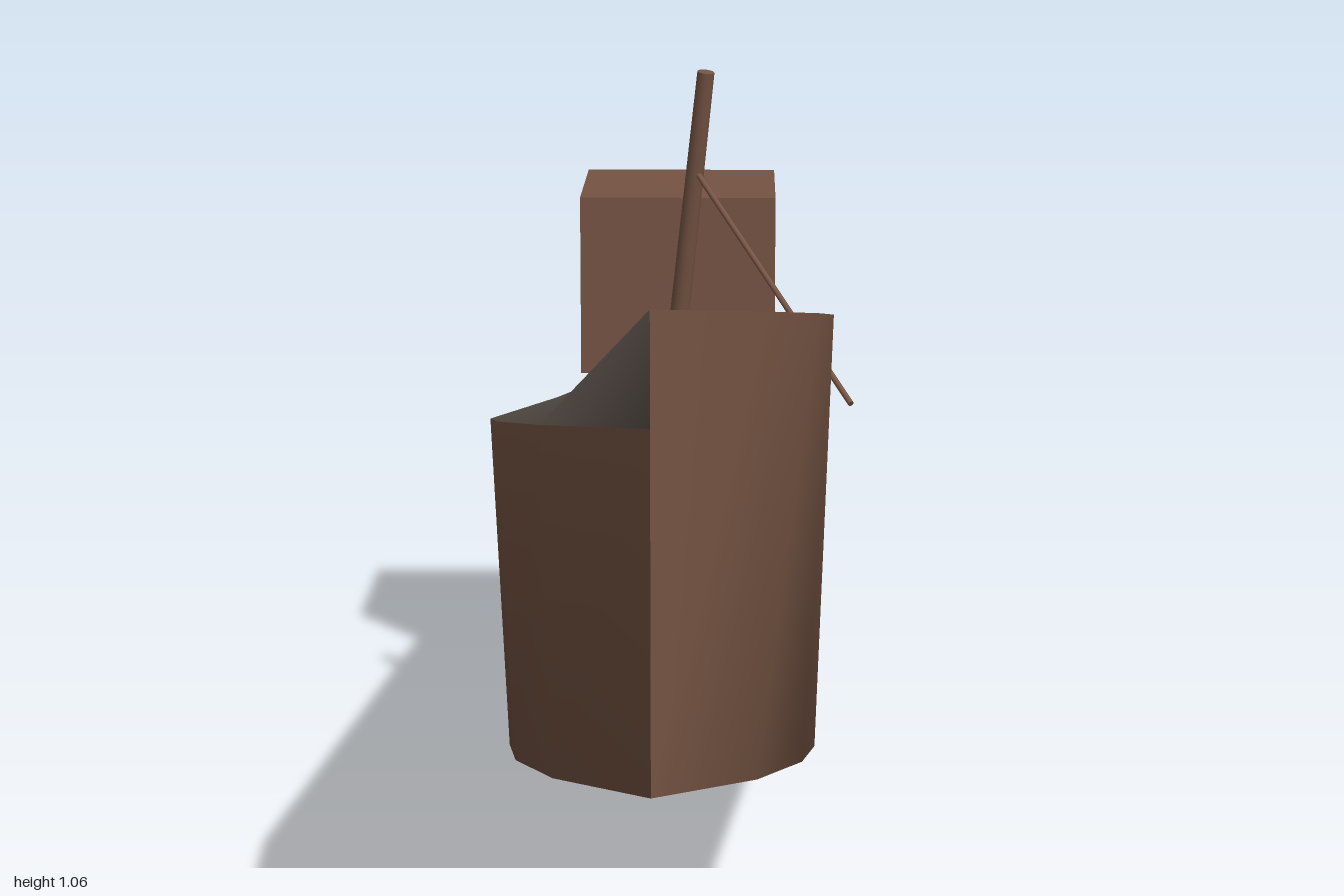
import * as THREE from 'three';

const brown = new THREE.MeshStandardMaterial({ name: 'hullBrown', color: 0x755443, side: THREE.DoubleSide });
const grey = new THREE.MeshStandardMaterial({ name: 'deckGrey', color: 0x574d47, side: THREE.DoubleSide });

const MID = -0.018; // x of the keel line
// hull stations from stern to bow: [z, half width at the rail]
const STATIONS = [[-1, 0.21], [0.5, 0.21], [0.66, 0.19], [0.83, 0.13], [1, 0]];
const rise = (z) => 0.1975 * z; // whole ship pitches up to the bow

// Lofts open cross-sections (arrays of [x, y, z]) into a smooth skin
function loft(sections) {
  const n = sections[0].length;
  const index = [];
  for (let i = 0; i < sections.length - 1; i++) {
    for (let j = 0; j < n - 1; j++) {
      const a = i * n + j, b = a + 1, d = a + n, c = d + 1;
      index.push(a, b, d, b, c, d);
    }
  }
  const geo = new THREE.BufferGeometry();
  geo.setAttribute('position', new THREE.Float32BufferAttribute(sections.flat(2), 3));
  geo.setIndex(index);
  geo.computeVertexNormals();
  return geo;
}

function addMesh(group, name, geometry, material) {
  const mesh = new THREE.Mesh(geometry, material);
  mesh.name = name;
  group.add(mesh);
  return mesh;
}

// Thin round spar between two points
function addSpar(group, name, from, to, rBottom, rTop) {
  const a = new THREE.Vector3(...from), b = new THREE.Vector3(...to);
  const dir = b.clone().sub(a);
  const spar = addMesh(group, name, new THREE.CylinderGeometry(rTop, rBottom, dir.length(), 12), brown);
  spar.position.copy(a).add(b).multiplyScalar(0.5);
  spar.quaternion.setFromUnitVectors(new THREE.Vector3(0, 1, 0), dir.normalize());
}

export function createModel() {
  const ship = new THREE.Group();
  ship.name = 'ship';

  // the rail is lower on the -x side; the floor is level across
  const railRight = ([z, w]) => [MID - w, 0.617 + rise(z), z];
  const railLeft = ([z, w]) => [MID + w, 0.748 + rise(z), z];
  const floor = ([z, w], side) => [MID + side * w * 0.91, 0.1985 + rise(z), z];

  // side walls and floor, open at the stern
  addMesh(ship, 'hull', loft(STATIONS.map((s) => [railRight(s), floor(s, -1), floor(s, 1), railLeft(s)])), brown);

  // sloping deck
  addMesh(ship, 'deck', loft(STATIONS.map((s) => [railLeft(s), railRight(s)])), grey);

  // deckhouse
  const house = addMesh(ship, 'deckhouse', new THREE.BoxGeometry(0.3, 0.275, 0.3), brown);
  house.position.set(-0.02, 0.6825, -0.76);

  // raked mast and the boom that slants down through the side
  addSpar(ship, 'mast', [-0.018, 0.635, -0.24], [0.028, 1.063, -0.181], 0.014, 0.012);
  addSpar(ship, 'boom', [0.016, 0.918, -0.195], [0.224, 0.668, 0.183], 0.004, 0.004);

  return ship;
}
